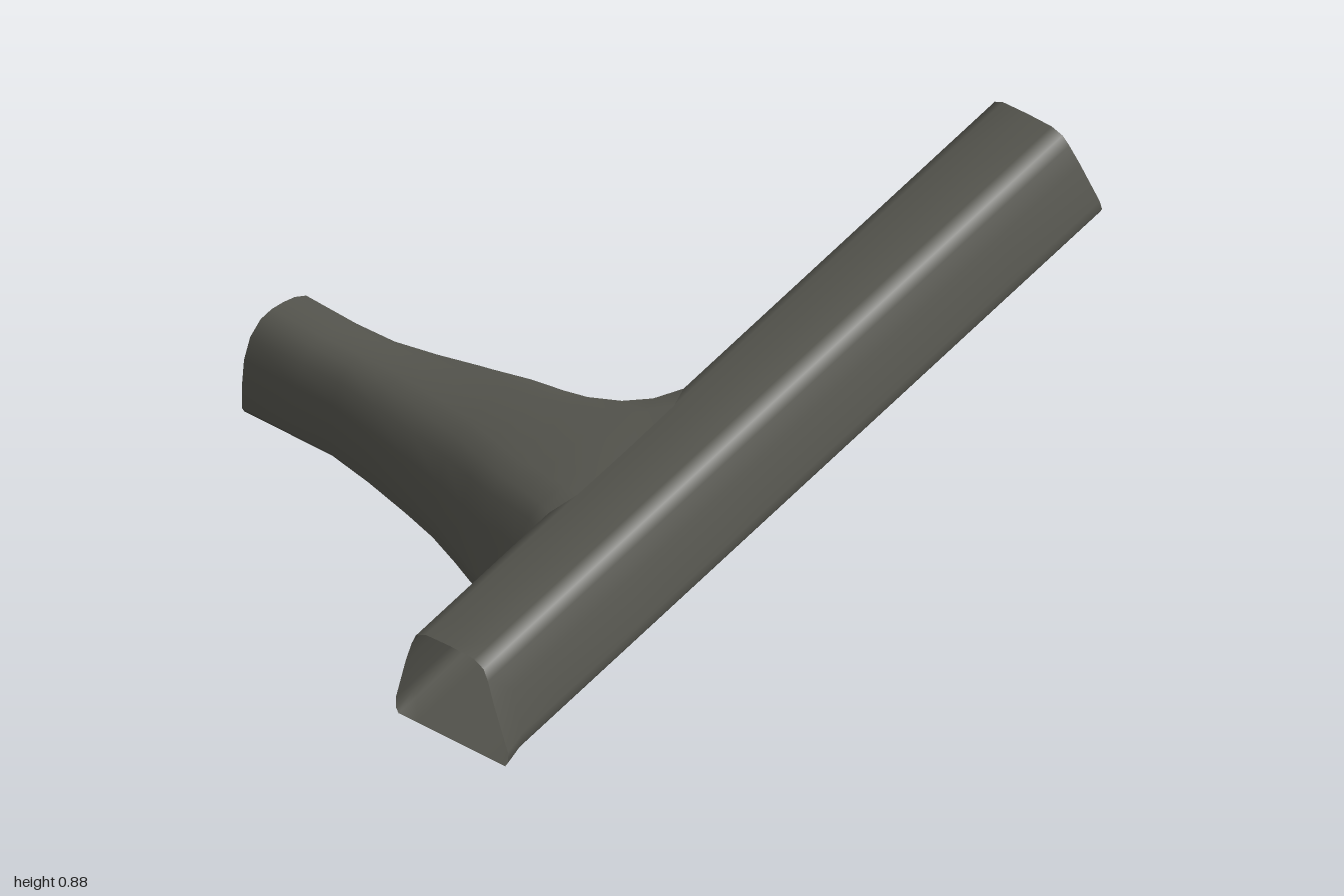
import * as THREE from 'three';

// Half cross-sections, floor centre to crown: [half-width, height], both 0..1
const MAIN_HALF = [[0, 0], [0.6, 0], [0.95, 0], [1, 0.05], [1, 0.16], [0.82, 0.6], [0.71, 0.82], [0.63, 0.93], [0.45, 0.99], [0, 1]];
const ARCH_HALF = [[0, 0], [0.6, 0], [0.95, 0], [1, 0.05], [1, 0.3], [0.95, 0.58], [0.8, 0.8], [0.55, 0.94], [0.28, 0.99], [0, 1]];

const SLOPE = 0.327;
const floorY = (x) => 0.004 + SLOPE * (x + 1);

// Mirror a half section into a closed ring
function ring(half) {
  const other = half.slice(1, -1).reverse().map(([u, v]) => [-u, v]);
  return [...half, ...other];
}

// Skin a list of closed rings, leaving both ends open
function loft(rings, skip = () => false) {
  const n = rings[0].length;
  const index = [];
  for (let i = 0; i < rings.length - 1; i++) {
    for (let j = 0; j < n; j++) {
      if (skip(i, j)) continue;
      const k = (j + 1) % n;
      const a = i * n + j, b = a + n, c = i * n + k, d = c + n;
      index.push(a, b, c, b, d, c);
    }
  }
  const geometry = new THREE.BufferGeometry();
  geometry.setAttribute('position', new THREE.Float32BufferAttribute(rings.flat(2), 3));
  geometry.setIndex(index);
  geometry.computeVertexNormals();
  return geometry;
}

// Sloping main passage, cut upright at its low end and square at its high end
function mainPassage() {
  const stations = [-1, -0.94, -0.8, -0.55, -0.4, -0.26, -0.12, 0.1, 0.4, 0.7, 0.99];
  const section = ring(MAIN_HALF);
  const rings = stations.map((x, i) => section.map(([u, v]) => {
    const lean = i === stations.length - 1 ? 0.311 * 0.237 * v : 0;
    const flare = i === 0 && u > 0.8 && v < 0.5 ? 0.014 : 0;
    return [x - lean, floorY(x) + 0.25 * v - lean * SLOPE, 0.485 + 0.175 * u + flare];
  }));
  // Doorway in the back wall where the branch joins
  const doorway = (i, j) => stations[i] >= -0.55 && stations[i] < -0.12 && j >= 12 && j <= 14;
  return loft(rings, doorway);
}

// Branch passage, flaring into the main wall: [z, left x, right x, floor tilt, height, roundness, wall lean]
function branchPassage() {
  const stations = [
    [0.31, -0.69, 0.02, 1, 0.25, 0, 1],
    [0.29, -0.66, -0.06, 1, 0.253, 0.05, 0.7],
    [0.25, -0.64, -0.115, 1, 0.254, 0.15, 0.4],
    [0.18, -0.62, -0.152, 1, 0.25, 0.3, 0.15],
    [0.1, -0.592, -0.175, 1, 0.247, 0.45, 0],
    [0, -0.562, -0.19, 0.95, 0.243, 0.65, 0],
    [-0.12, -0.543, -0.205, 0.7, 0.241, 0.8, 0],
    [-0.25, -0.527, -0.222, 0.3, 0.24, 1, 0],
    [-0.38, -0.512, -0.238, 0, 0.236, 1, 0],
    [-0.5, -0.511, -0.243, 0, 0.236, 1, 0],
    [-0.67, -0.51, -0.235, 0, 0.239, 1, 0],
  ];
  const rings = stations.map(([z, x0, x1, tilt, height, round, lean]) => {
    const half = MAIN_HALF.map(([u, v], k) => [
      THREE.MathUtils.lerp(u, ARCH_HALF[k][0], round),
      THREE.MathUtils.lerp(v, ARCH_HALF[k][1], round),
    ]);
    // Follow the leaning back wall and roof shoulder of the main passage
    const back = MAIN_HALF.map(([u], k) => (k < 4 ? 0 : k === 9 ? 0.1 : 0.175 * (1 - u)));
    return ring(half).map(([u, v], j) => {
      const x = (x0 + x1) / 2 + u * (x1 - x0) / 2;
      const base = THREE.MathUtils.lerp(0.2, floorY(x), tilt);
      return [x, base + height * v, z + lean * back[j > 9 ? 18 - j : j]];
    });
  });
  return loft(rings);
}

export function createModel() {
  const rock = new THREE.MeshStandardMaterial({ color: 0x55554e });
  rock.name = 'darkGrey';
  rock.side = THREE.DoubleSide;

  const group = new THREE.Group();
  group.name = 'tunnelJunction';
  const parts = { mainPassage: mainPassage(), branchPassage: branchPassage() };
  for (const [name, geometry] of Object.entries(parts)) {
    const mesh = new THREE.Mesh(geometry, rock);
    mesh.name = name;
    group.add(mesh);
  }
  return group;
}
